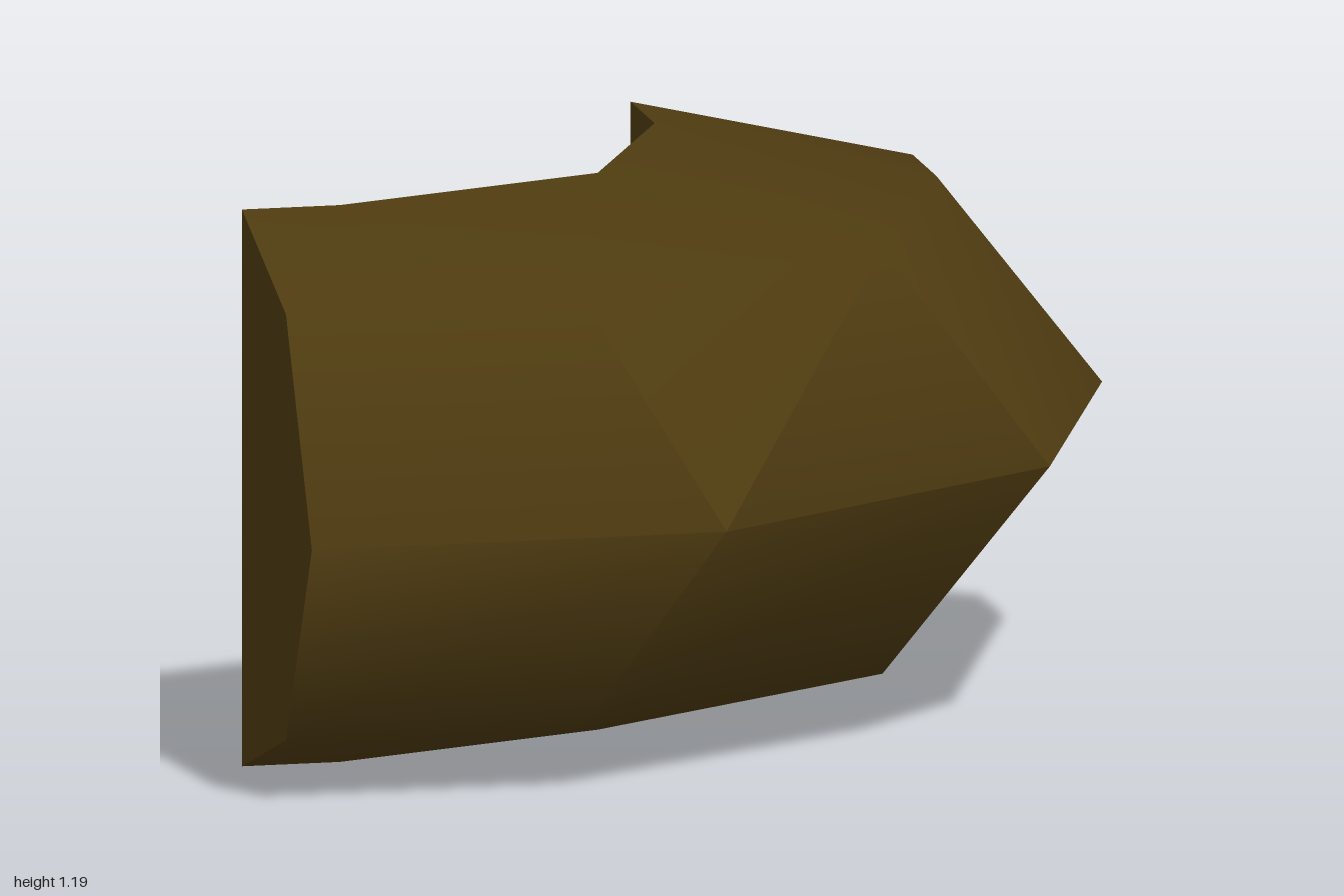
import * as THREE from 'three';
import { toCreasedNormals } from 'three/addons/utils/BufferGeometryUtils.js';

// Plan of the bend as [x, z], from the left-hand end round to the back end
const inner = [[-1, 0.12], [-0.79, 0.12], [-0.19, -0.09], [0.04, -0.57], [0.04, -0.8]];
const outer = [[-1, 0.79], [-0.11, 0.79], [0.7, 0.27], [1, -0.57], [1, -0.8]];

// Cross-section as [share of the way outward, height]
const profile = [[0, 0], [0.63, 0.14], [1, 0.595], [0.63, 1.05], [0, 1.19]];

function bendGeometry() {
  const positions = [];
  const index = [];
  const n = profile.length;
  inner.forEach(([x, z], i) => {
    const [ox, oz] = outer[i];
    for (const [t, y] of profile) positions.push(x + (ox - x) * t, y, z + (oz - z) * t);
  });

  // Skin between neighbouring sections, including the upright inner wall
  for (let i = 0; i < inner.length - 1; i++) {
    for (let j = 0; j < n; j++) {
      const k = (j + 1) % n;
      const a = i * n + j, b = a + n, c = (i + 1) * n + k, d = i * n + k;
      index.push(a, b, c, a, c, d);
    }
  }

  // Flat end caps
  const last = (inner.length - 1) * n;
  for (let j = 1; j < n - 1; j++) {
    index.push(0, j, j + 1);
    index.push(last, last + j + 1, last + j);
  }

  const geometry = new THREE.BufferGeometry();
  geometry.setAttribute('position', new THREE.Float32BufferAttribute(positions, 3));
  geometry.setIndex(index);
  // Soft bends, crisp rims, end caps and outer ridge
  return toCreasedNormals(geometry, THREE.MathUtils.degToRad(70));
}

export function createModel() {
  const darkOlive = new THREE.MeshStandardMaterial({ color: 0x4d3a10 });
  darkOlive.name = 'dark olive brown';

  const group = new THREE.Group();
  group.name = 'cornerPiece';
  const bend = new THREE.Mesh(bendGeometry(), darkOlive);
  bend.name = 'curvedBody';
  group.add(bend);
  return group;
}
